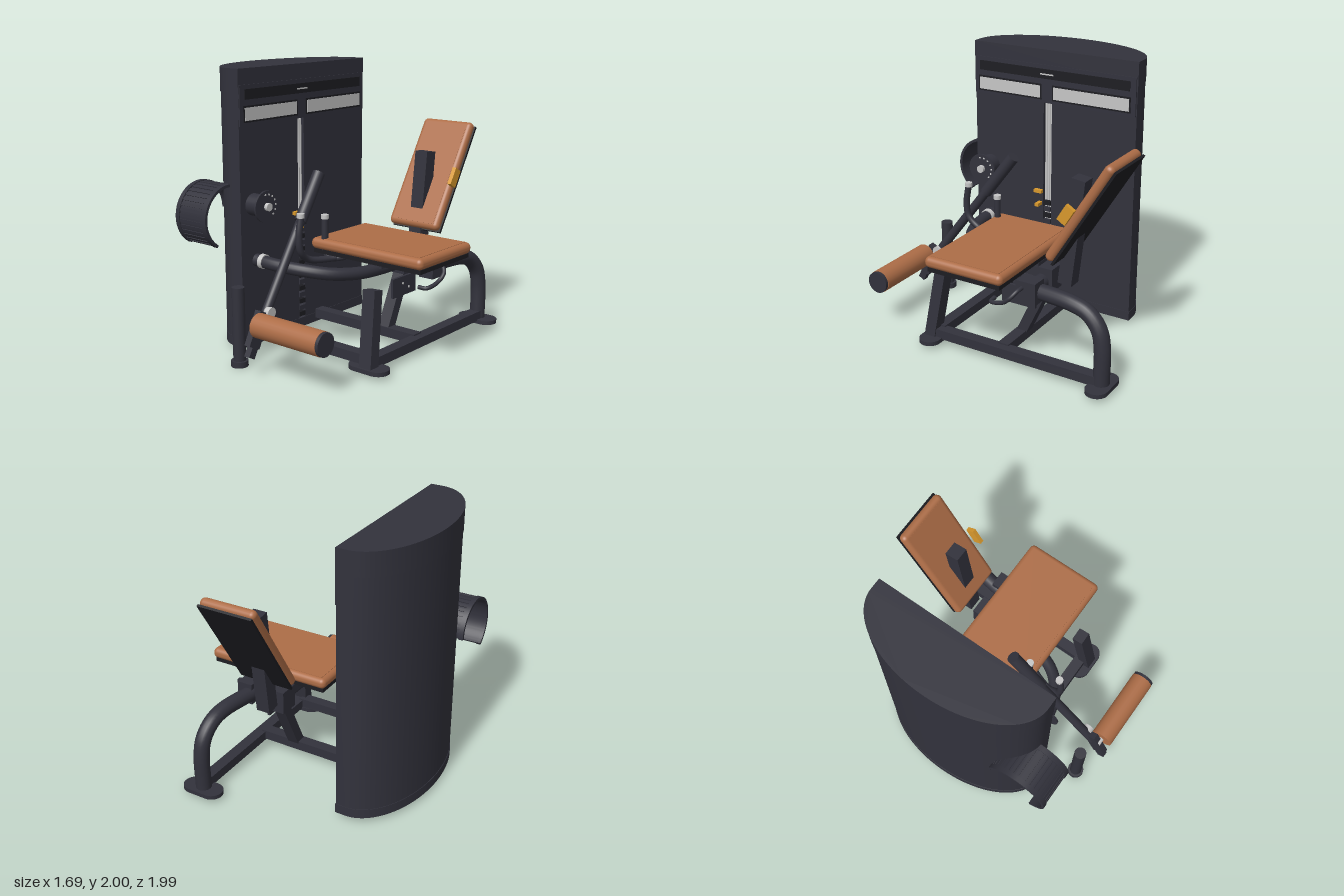
import * as THREE from 'three';
import { toCreasedNormals } from 'three/addons/utils/BufferGeometryUtils.js';
import { RoundedBoxGeometry } from 'three/addons/geometries/RoundedBoxGeometry.js';

export function createModel() {
  const root = new THREE.Group();
  const mat = (name, color) => {
    const m = new THREE.MeshStandardMaterial({ color });
    m.name = name;
    return m;
  };
  const frame = mat('charcoal frame', 0x32323c);
  const black = mat('black plastic', 0x1d1d22);
  const leather = mat('tan upholstery', 0xad6d47);
  const amber = mat('amber adjuster', 0xd8982c);
  const silver = mat('silver metal', 0xc6c6c6);

  const V = (p) => new THREE.Vector3(...p);
  const add = (name, geo, m, pos = [0, 0, 0], parent = root) => {
    const mesh = new THREE.Mesh(geo, m);
    mesh.name = name;
    mesh.position.set(...pos);
    parent.add(mesh);
    return mesh;
  };
  const box = (name, size, pos, m = frame, parent = root) => add(name, new THREE.BoxGeometry(...size), m, pos, parent);
  const pad = (name, size, r, pos, parent = root) => add(name, new RoundedBoxGeometry(...size, 4, r), leather, pos, parent);
  // straight member between two points: round by default, or w x d box
  const bar = (name, a, b, w, m = frame, d = 0) => {
    const A = V(a), B = V(b), len = A.distanceTo(B);
    const geo = d ? new THREE.BoxGeometry(w, len, d) : new THREE.CylinderGeometry(w, w, len, 24);
    const mesh = add(name, geo, m, A.clone().add(B).multiplyScalar(0.5).toArray());
    mesh.quaternion.setFromUnitVectors(new THREE.Vector3(0, 1, 0), B.sub(A).normalize());
    return mesh;
  };
  // bent tube with closed ends
  const tube = (name, pts, r, m = frame) => {
    const curve = new THREE.CatmullRomCurve3(pts.map(V), false, 'centripetal');
    add(name, new THREE.TubeGeometry(curve, 40, r, 16), m);
    [0, 1].forEach((t) => {
      const p = curve.getPoint(t), dir = curve.getTangent(t).multiplyScalar(0.002);
      bar(name + 'End', p.clone().sub(dir).toArray(), p.clone().add(dir).toArray(), r, m);
    });
  };
  // vertical extrusion of a plan shape (shape y is -z)
  const slab = (name, shape, y0, y1, m = frame) => {
    const geo = new THREE.ExtrudeGeometry(shape, { depth: y1 - y0, bevelEnabled: false, curveSegments: 40 });
    geo.rotateX(-Math.PI / 2);
    return add(name, toCreasedNormals(geo, 0.5), m, [0, y0, 0]);
  };

  // weight tower: D-shaped plan with a vertical channel in the flat face
  const towerPlan = (inset, channel) => {
    const s = new THREE.Shape();
    const h = 0.668 - inset, f = -0.4 - inset;
    s.moveTo(f, -h);
    if (channel) [[f, -0.078], [-0.46, -0.078], [-0.46, -0.01], [f, -0.01]].forEach((p) => s.lineTo(...p));
    s.lineTo(f, h);
    s.lineTo(-0.48, h);
    s.absellipse(-0.48, 0, 0.37 - inset, h, Math.PI / 2, Math.PI * 1.5, false);
    return s;
  };
  slab('towerBase', towerPlan(0, false), 0.03, 0.1);
  slab('towerBody', towerPlan(0.004, true), 0.1, 1.83);
  slab('towerCap', towerPlan(0, false), 1.83, 2);
  box('headerPanel', [0.012, 0.28, 1.32], [-0.398, 1.75, 0.002]);
  box('headerStrip', [0.012, 0.07, 1.23], [-0.391, 1.825, 0.003], black);
  box('headerBadge', [0.008, 0.01, 0.11], [-0.386, 1.823, 0.045], silver);
  [[0.36, 0.52], [-0.31, 0.6]].forEach(([z, w]) => {
    box('windowFrame', [0.008, 0.115, w + 0.02], [-0.391, 1.69, z], black);
    box('window', [0.008, 0.09, w], [-0.388, 1.69, z], silver);
  });
  [0.065, 0.044, 0.023].forEach((z) => bar('guideRod', [-0.43, 0.6, z], [-0.43, 1.77, z], 0.0105, silver));
  for (let i = 0; i < 15; i++) {
    box('weightPlate', [0.05, 0.034, 0.06], [-0.425, 0.13 + i * 0.05, 0.044], i % 2 ? frame : black);
  }

  // slatted curved guard, axis along x
  const guard = (name, ri, ro, x0, x1) => {
    const s = new THREE.Shape(), end = (238 * Math.PI) / 180;
    s.absarc(0, 0, ro, 0, end, false);
    s.absarc(0, 0, ri, end, 0, true);
    const geo = new THREE.ExtrudeGeometry(s, { depth: x1 - x0, bevelEnabled: false, curveSegments: 40 });
    geo.rotateY(Math.PI / 2);
    add(name, toCreasedNormals(geo, 0.5), frame, [x0, 0.97, 0.67]);
  };
  guard('guardShell', 0.212, 0.222, -0.78, -0.53);
  guard('guardRim', 0.212, 0.232, -0.805, -0.77);
  guard('guardRim', 0.212, 0.232, -0.545, -0.505);
  for (let i = 0; i < 24; i++) {
    const a = ((-55 + i * 10) * Math.PI) / 180;
    const slat = box('guardSlat', [0.24, 0.008, 0.022], [-0.655, 0.97 + 0.223 * Math.sin(a), 0.67 + 0.223 * Math.cos(a)]);
    slat.rotation.x = Math.PI / 2 - a;
  }

  // range dial and pins on the tower face
  bar('dialHub', [-0.41, 1.055, 0.54], [-0.3, 1.055, 0.54], 0.078);
  bar('dialShaft', [-0.3, 1.055, 0.54], [-0.245, 1.055, 0.54], 0.028, silver);
  bar('dialDisc', [-0.287, 1.055, 0.54], [-0.272, 1.055, 0.54], 0.112);
  for (let i = 0; i < 7; i++) {
    const a = 1.4 + i * 0.42, y = 1.055 + 0.085 * Math.sin(a), z = 0.54 + 0.085 * Math.cos(a);
    bar('dialHole', [-0.273, y, z], [-0.269, y, z], 0.007, silver);
  }
  box('upperPin', [0.03, 0.025, 0.065], [-0.388, 0.92, 0.11], amber);
  box('lowerPin', [0.06, 0.025, 0.03], [-0.372, 0.823, 0.1], amber);

  // base: feet, long rail and cross rails to the tower
  [0.42, -0.92].forEach((z) => {
    const s = new THREE.Shape();
    s.absarc(0.61, -z, 0.08, -Math.PI / 2, Math.PI / 2, false);
    s.absarc(0.46, -z, 0.08, Math.PI / 2, Math.PI * 1.5, false);
    slab('foot', s, 0.03, 0.06);
  });
  box('longRail', [0.085, 0.07, 1.36], [0.54, 0.085, -0.23]);
  [0.39, -0.145].forEach((z) => box('crossRail', [0.95, 0.07, 0.085], [0.05, 0.095, z]));
  bar('frontPost', [0.545, 0.05, 0.44], [0.51, 0.57, 0.355], 0.1, frame, 0.085);
  bar('diagonalBrace', [0.245, 0.1, -0.14], [0.245, 0.57, -0.36], 0.09, frame, 0.075);

  // main bent frame tubes
  tube('rearFrameTube', [[0.535, 0.05, -0.915], [0.535, 0.33, -0.915], [0.53, 0.45, -0.885], [0.52, 0.54, -0.8], [0.51, 0.575, -0.68], [0.46, 0.575, -0.33]], 0.057);
  tube('sideFrameTube', [[-0.39, 0.655, 0.53], [-0.2, 0.645, 0.52], [0, 0.63, 0.46], [0.14, 0.605, 0.34], [0.22, 0.585, 0.16], [0.25, 0.575, -0.1], [0.25, 0.575, -0.38]], 0.045);
  bar('tubeCollar', [-0.345, 0.654, 0.528], [-0.31, 0.652, 0.526], 0.052, silver);
  box('frameBracket', [0.14, 0.17, 0.15], [0.245, 0.585, -0.335]);
  box('frameBracket', [0.12, 0.16, 0.15], [0.5, 0.585, -0.345]);
  bar('bracketTie', [0.25, 0.57, -0.33], [0.5, 0.57, -0.33], 0.055);
  box('sidePlate', [0.02, 0.14, 0.27], [0.37, 0.45, -0.18]);
  [[0.47, -0.16], [0.43, -0.23]].forEach(([y, z]) => bar('plateBolt', [0.37, y, z], [0.384, y, z], 0.009, silver));
  tube('adjustLever', [[0.5, 0.615, -0.32], [0.61, 0.61, -0.31], [0.648, 0.57, -0.28], [0.645, 0.52, -0.22], [0.62, 0.49, -0.11], [0.56, 0.49, -0.1]], 0.015);

  // seat
  pad('seatCushion', [0.955, 0.08, 0.61], 0.036, [0.367, 0.775, -0.025]);
  box('seatPanel', [0.88, 0.006, 0.54], [0.367, 0.8145, -0.025], leather);
  box('seatTray', [0.92, 0.03, 0.57], [0.367, 0.722, -0.025], black);
  box('seatCarrier', [0.74, 0.035, 0.4], [0.38, 0.693, -0.06]);
  box('seatPillar', [0.12, 0.1, 0.3], [0.25, 0.645, -0.15]);

  // backrest, tilted back
  const back = new THREE.Group();
  back.name = 'backrest';
  back.position.set(0.257, 1.178, -0.677);
  back.rotation.x = -0.55;
  root.add(back);
  pad('backCushion', [0.43, 0.86, 0.072], 0.034, [0, 0, 0], back);
  box('backPanel', [0.36, 0.79, 0.006], [0, 0, 0.0345], leather, back);
  box('backPlate', [0.42, 0.85, 0.018], [0, -0.005, -0.044], black, back);
  box('adjusterTab', [0.03, 0.13, 0.07], [0.238, -0.03, 0.06], amber, back);
  bar('backPost', [0.253, 0.58, -0.5], [0.253, 1.355, -0.592], 0.105, frame, 0.105);

  // swinging arm with foot roller
  bar('armGrip', [-0.125, 1.255, 0.165], [-0.1, 0.95, 0.39], 0.044);
  bar('armRod', [-0.1, 0.96, 0.383], [-0.045, 0.33, 0.85], 0.033);
  bar('armPaddle', [-0.045, 0.42, 0.83], [-0.045, 0.2, 0.94], 0.05, frame, 0.1);
  bar('armPaddleTip', [-0.045, 0.24, 0.91], [-0.045, 0.135, 0.965], 0.048, frame, 0.055);
  bar('armPivot', [-0.04, 0.41, 0.79], [0, 0.41, 0.79], 0.038, silver);
  bar('rollerAxle', [-0.06, 0.355, 0.91], [0, 0.355, 0.91], 0.02, silver);
  bar('footRoller', [-0.01, 0.355, 0.91], [0.555, 0.355, 0.91], 0.084, leather);
  bar('rollerCap', [0.55, 0.355, 0.91], [0.578, 0.355, 0.91], 0.081);

  // hand grips beside the seat
  tube('frontGrip', [[-0.01, 1.01, 0.485], [-0.01, 0.88, 0.505], [-0.01, 0.77, 0.49], [-0.01, 0.7, 0.41], [0.04, 0.68, 0.26], [0.1, 0.69, 0.15]], 0.024);
  bar('frontGripCap', [-0.01, 1.005, 0.485], [-0.01, 1.035, 0.485], 0.027, silver);
  tube('rearGrip', [[-0.01, 0.965, 0.235], [-0.01, 0.84, 0.235], [-0.01, 0.72, 0.235], [0.04, 0.68, 0.22], [0.12, 0.69, 0.17]], 0.024);
  bar('rearGripCap', [-0.01, 0.955, 0.235], [-0.01, 0.985, 0.235], 0.027, silver);

  // free-standing stop post
  bar('stopPost', [-0.245, 0.03, 0.86], [-0.245, 0.56, 0.86], 0.044);
  bar('stopPostFoot', [-0.245, 0, 0.86], [-0.245, 0.042, 0.86], 0.06);

  return root;
}
